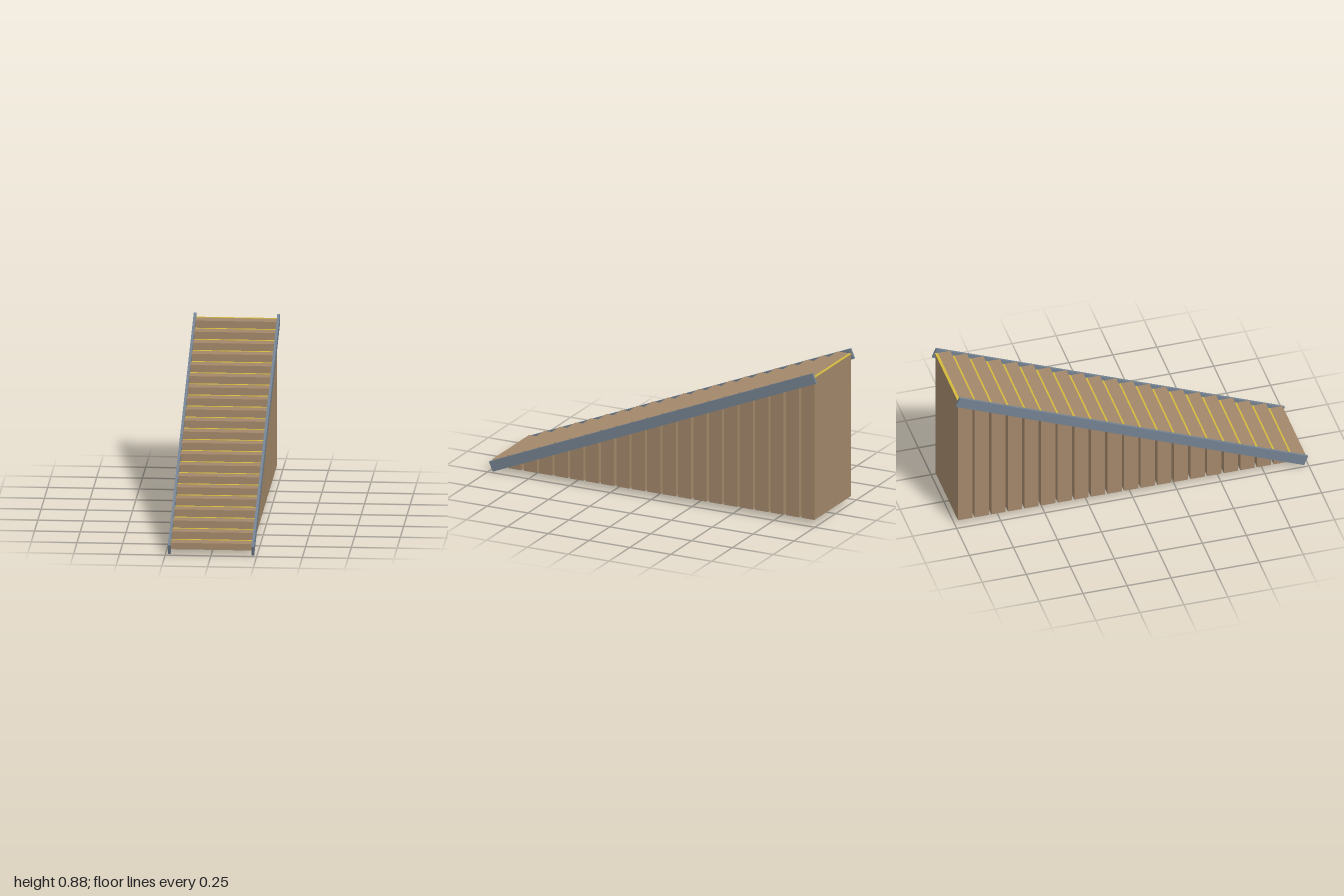
import * as THREE from 'three';

export function createModel() {
  const model = new THREE.Group();
  model.name = 'staircase';

  const mat = (name, color) => {
    const m = new THREE.MeshStandardMaterial({ color });
    m.name = name;
    return m;
  };
  const wood = mat('brown wood', 0xa28769);
  const steel = mat('slate grey steel', 0x738190);
  const yellow = mat('yellow edging', 0xd2b93c);

  // box given by its centre and size
  const box = (parent, name, material, size, pos) => {
    const mesh = new THREE.Mesh(new THREE.BoxGeometry(...size), material);
    mesh.name = name;
    mesh.position.set(...pos);
    parent.add(mesh);
    return mesh;
  };

  const count = 21, run = 0.0943, rise = 0.0393;
  const depth = 0.087, base = 0.03, slab = 0.012, strip = 0.016;

  // steps: a tall block under a thin tread, with a strip along the rear edge
  for (let i = 0; i < count; i++) {
    const step = new THREE.Group();
    step.name = 'step' + (i + 1);
    const top = 0.067 + i * rise;
    const z = (10 - i) * run;
    const h = top - slab - base;
    box(step, 'stepBlock', wood, [0.44, h, 0.081], [0, base + h / 2, z]);
    box(step, 'tread', wood, [0.443, slab, depth], [0, top - slab / 2, z]);
    box(step, 'edgeStrip', yellow, [0.443, 0.002, strip], [0, top, z - depth / 2 + strip / 2]);
    model.add(step);
  }

  // sloping side stringers
  for (const side of [-1, 1]) {
    const s = box(model, side > 0 ? 'leftStringer' : 'rightStringer', steel,
      [0.014, 0.0592, 2.1426], [side * 0.2285, 0.44, 0]);
    s.rotation.x = THREE.MathUtils.degToRad(22.66);
  }
  return model;
}
